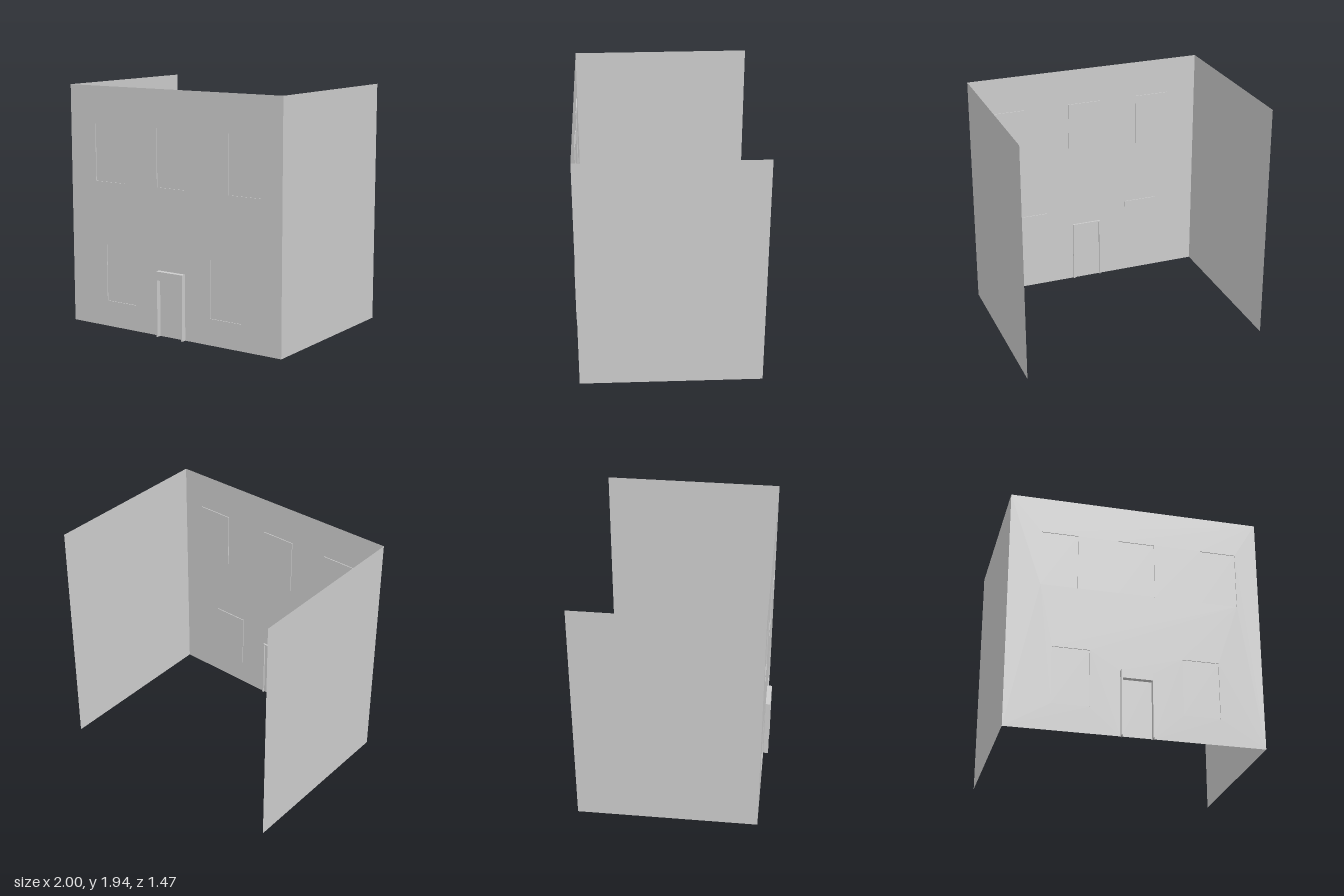
import * as THREE from 'three';

const HEIGHT = 1.94, WALL_Z = 0.697, BACK_Z = -0.737, RECESS = 0.007;
const WIN_W = 0.29, WIN_H = 0.46;
const material = new THREE.MeshStandardMaterial({ color: 0xcccccc, side: THREE.DoubleSide });

// Lower-left corners of the windows: two beside the door, three above
const WINDOWS = [[-0.65, 0.21], [0.36, 0.21], [-0.75, 1.18], [-0.14, 1.18], [0.53, 1.18]];
const DOOR = { left: -0.127, right: 0.125, top: 0.525, back: 0.683, front: 0.737, rim: 0.011, lintel: 0.455 };

function add(parent, name, geometry, x = 0, y = 0, z = 0) {
  const mesh = new THREE.Mesh(geometry, material);
  mesh.name = name;
  mesh.position.set(x, y, z);
  parent.add(mesh);
  return mesh;
}

function rectPath(x, y, w, h, PathType = THREE.Path) {
  return new PathType([[x, y], [x + w, y], [x + w, y + h], [x, y + h]].map(p => new THREE.Vector2(...p)));
}

// Shallow recessed window: a pane with four thin reveals
function createWindow(x, y) {
  const win = new THREE.Group();
  win.name = 'window';
  win.position.set(x + WIN_W / 2, y + WIN_H / 2, WALL_Z - RECESS);
  add(win, 'windowPane', new THREE.PlaneGeometry(WIN_W, WIN_H));
  for (const s of [-1, 1]) {
    add(win, 'windowSideReveal', new THREE.PlaneGeometry(RECESS, WIN_H).rotateY(-s * Math.PI / 2),
      s * WIN_W / 2, 0, RECESS / 2);
    add(win, 'windowCrossReveal', new THREE.PlaneGeometry(WIN_W, RECESS).rotateX(s * Math.PI / 2),
      0, s * WIN_H / 2, RECESS / 2);
  }
  return win;
}

// Doorway: thin surround through the wall, deep lintel board and a set-back leaf
function createDoor() {
  const door = new THREE.Group();
  door.name = 'doorway';
  const { left, right, top, back, front, rim, lintel } = DOOR;
  const outline = new THREE.Shape([
    [left, 0], [left + rim, 0], [left + rim, top - rim], [right - rim, top - rim],
    [right - rim, 0], [right, 0], [right, top], [left, top],
  ].map(p => new THREE.Vector2(...p)));
  add(door, 'doorSurround',
    new THREE.ExtrudeGeometry(outline, { depth: front - back, bevelEnabled: false }), 0, 0, back);

  const innerW = right - left - 2 * rim, mid = (left + right) / 2;
  const lintelH = top - rim - lintel;
  add(door, 'doorLintel', new THREE.BoxGeometry(innerW, lintelH, front - WALL_Z),
    mid, lintel + lintelH / 2, (front + WALL_Z) / 2);
  add(door, 'doorLeaf', new THREE.PlaneGeometry(innerW, top - rim), mid, (top - rim) / 2, WALL_Z);
  return door;
}

export function createModel() {
  const model = new THREE.Group();
  model.name = 'houseFacade';

  // Front wall with openings
  const wall = rectPath(-1, 0, 2, HEIGHT, THREE.Shape);
  for (const [x, y] of WINDOWS) wall.holes.push(rectPath(x, y, WIN_W, WIN_H));
  wall.holes.push(rectPath(DOOR.left, 0.0005, DOOR.right - DOOR.left, DOOR.top));
  add(model, 'frontWall', new THREE.ShapeGeometry(wall), 0, 0, WALL_Z);

  // Side walls; the back and top stay open
  for (const s of [-1, 1]) {
    add(model, s < 0 ? 'rightWall' : 'leftWall',
      new THREE.PlaneGeometry(WALL_Z - BACK_Z, HEIGHT).rotateY(s * Math.PI / 2),
      s, HEIGHT / 2, (WALL_Z + BACK_Z) / 2);
  }

  for (const [x, y] of WINDOWS) model.add(createWindow(x, y));
  model.add(createDoor());
  return model;
}
